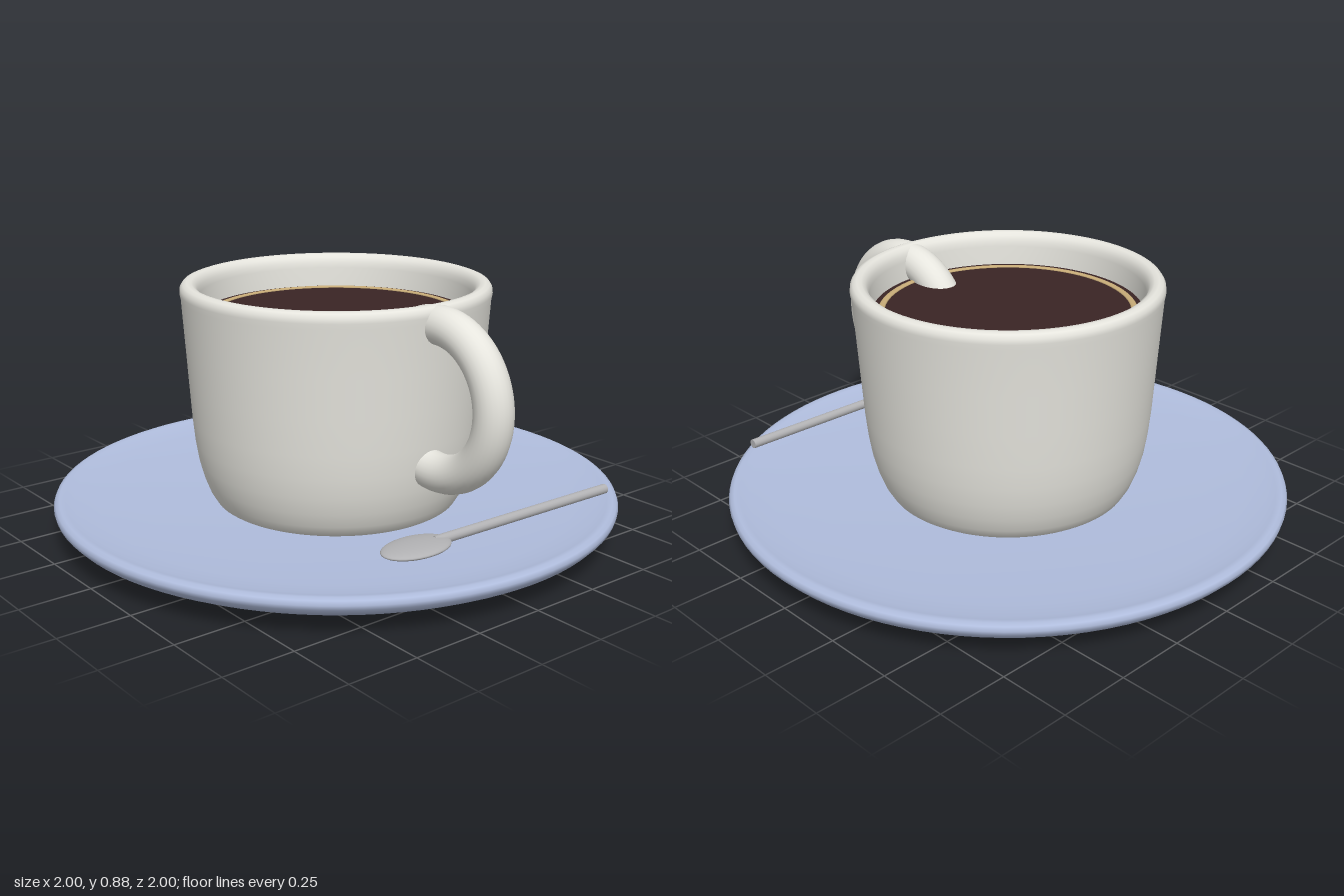
import * as THREE from 'three';

const material = (name, color) => {
  const m = new THREE.MeshStandardMaterial({ color });
  m.name = name;
  return m;
};

// Smooth surface of revolution; the profile runs bottom axis -> outside -> rim -> inside axis
const lathe = (profile, segments = 96) =>
  new THREE.LatheGeometry(profile.map(([r, y]) => new THREE.Vector2(r, y)), segments);

export function createModel() {
  const china = material('white china', 0xe6e5de);
  const glaze = material('blue glaze', 0xb0bddd);
  const coffeeMat = material('coffee', 0x3a2424);
  const cremaMat = material('crema', 0xc8ac78);
  const steel = material('steel', 0xb2b2b4);

  const group = new THREE.Group();
  const add = (name, geometry, mat, parent = group) => {
    const mesh = new THREE.Mesh(geometry, mat);
    mesh.name = name;
    parent.add(mesh);
    return mesh;
  };

  // Shallow dished saucer with a rolled rim
  add('saucer', lathe([
    [0, 0], [0.3, 0.002], [0.55, 0.007], [0.72, 0.018], [0.85, 0.034], [0.93, 0.054],
    [0.975, 0.078], [0.996, 0.1], [1, 0.116], [0.994, 0.13], [0.98, 0.136], [0.96, 0.133],
    [0.93, 0.125], [0.85, 0.116], [0.7, 0.107], [0.5, 0.099], [0.3, 0.094], [0, 0.092],
  ]), glaze);

  // Cup wall, rounded rim and hollow interior
  add('cup', lathe([
    [0, 0.09], [0.41, 0.09], [0.432, 0.105], [0.453, 0.14], [0.472, 0.19], [0.488, 0.25],
    [0.499, 0.32], [0.507, 0.4], [0.515, 0.52], [0.524, 0.66], [0.535, 0.825],
    [0.539, 0.845], [0.537, 0.862], [0.528, 0.875], [0.514, 0.88], [0.498, 0.878],
    [0.484, 0.868], [0.476, 0.85], [0.473, 0.83], [0.466, 0.74], [0.455, 0.55],
    [0.43, 0.3], [0.36, 0.17], [0, 0.15],
  ]), china);

  // Ring handle, passing through the wall into the cup
  add('handle', new THREE.TorusGeometry(0.246, 0.065, 24, 80), china)
    .position.set(0.534, 0.568, 0);

  // Coffee surface with a ring of crema
  add('coffee', new THREE.CircleGeometry(0.467, 96).rotateX(-Math.PI / 2), coffeeMat)
    .position.y = 0.762;
  const crema = add('cremaRing',
    new THREE.TorusGeometry(0.436, 0.012, 10, 96).rotateX(Math.PI / 2), cremaMat);
  crema.scale.y = 0.4;
  crema.position.y = 0.763;

  // Teaspoon beside the cup
  const spoon = new THREE.Group();
  spoon.name = 'spoon';
  spoon.position.y = 0.185;
  group.add(spoon);
  const bowl = add('spoonBowl', new THREE.SphereGeometry(1, 32, 20), steel, spoon);
  bowl.scale.set(0.08, 0.018, 0.13);
  bowl.position.set(0.72, 0, 0.257);
  const start = new THREE.Vector3(0.72, 0, 0.18);
  const end = new THREE.Vector3(0.735, 0, -0.6);
  const stem = add('spoonHandle',
    new THREE.CylinderGeometry(0.017, 0.017, start.distanceTo(end), 16), steel, spoon);
  stem.position.copy(start).lerp(end, 0.5);
  stem.quaternion.setFromUnitVectors(
    new THREE.Vector3(0, 1, 0), end.clone().sub(start).normalize());

  return group;
}
